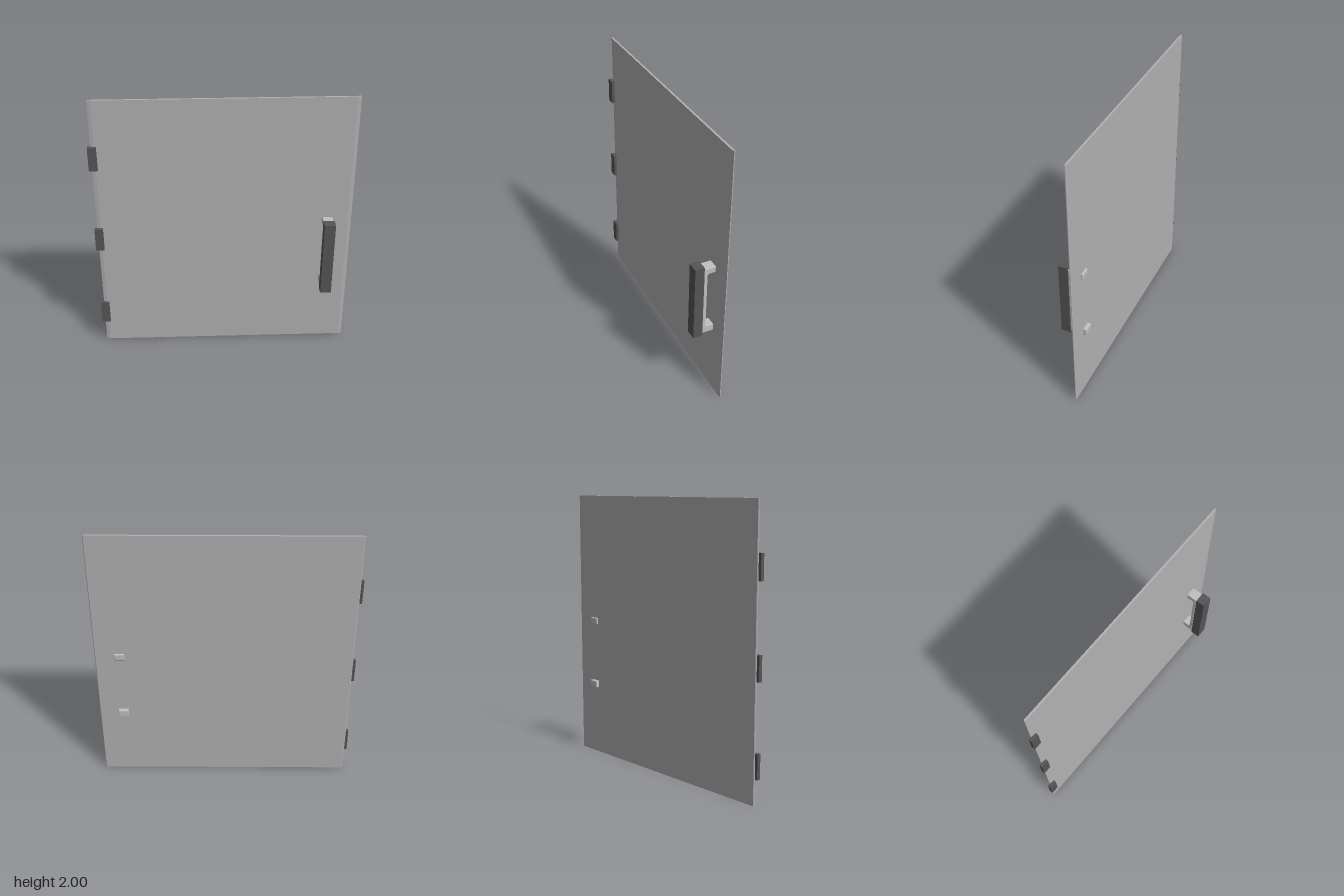
import * as THREE from 'three';

const panelGrey = new THREE.MeshStandardMaterial({ name: 'panelGrey', color: 0xb2b2b2 });
const metal = new THREE.MeshStandardMaterial({ name: 'lightMetal', color: 0xc0c0c0 });
const dark = new THREE.MeshStandardMaterial({ name: 'darkGrey', color: 0x555555 });

// Box given by its lower and upper corners
function box(name, [x0, y0, z0], [x1, y1, z1], material) {
  const mesh = new THREE.Mesh(new THREE.BoxGeometry(x1 - x0, y1 - y0, z1 - z0), material);
  mesh.name = name;
  mesh.position.set((x0 + x1) / 2, (y0 + y1) / 2, (z0 + z1) / 2);
  return mesh;
}

// Thin door sheet: plan outline with softened side edges, extruded upwards
function makePanel() {
  const h = 0.9175, t = 0.007;
  const plan = new THREE.Shape([
    [-h, 0.003], [-h + 0.005, t], [h - 0.005, t], [h, 0.003],
    [h, -0.002], [h - 0.025, -t], [-h + 0.025, -t], [-h, -0.002],
  ].reverse().map(([x, y]) => new THREE.Vector2(x, y)));
  const geometry = new THREE.ExtrudeGeometry(plan, { depth: 2, bevelEnabled: false });
  geometry.rotateX(-Math.PI / 2); // plan y becomes -z, depth becomes height
  const panel = new THREE.Mesh(geometry, panelGrey);
  panel.name = 'doorPanel';
  panel.position.set(0.0075, 0, -0.0675);
  panel.rotation.y = -0.006; // hangs very slightly ajar
  return panel;
}

// C-shaped bracket whose arms pass through the door; profile in (z, y)
function makeBracket() {
  const s = new THREE.Shape();
  const r = 0.015, front = 0.027, inner = 0;
  const lowEnd = -0.095, highEnd = -0.083;
  s.moveTo(front, 0.52);
  s.lineTo(front, 1.07);
  s.lineTo(highEnd + 0.008, 1.07);
  s.quadraticCurveTo(highEnd, 1.07, highEnd, 1.062);
  s.lineTo(highEnd, 1.028);
  s.quadraticCurveTo(highEnd, 1.02, highEnd + 0.008, 1.02);
  s.lineTo(inner - r, 1.02);
  s.quadraticCurveTo(inner, 1.02, inner, 1.02 - r);
  s.lineTo(inner, 0.575 + r);
  s.quadraticCurveTo(inner, 0.575, inner - r, 0.575);
  s.lineTo(lowEnd + 0.008, 0.575);
  s.quadraticCurveTo(lowEnd, 0.575, lowEnd, 0.567);
  s.lineTo(lowEnd, 0.528);
  s.quadraticCurveTo(lowEnd, 0.52, lowEnd + 0.008, 0.52);
  s.closePath();
  const geometry = new THREE.ExtrudeGeometry(s, {
    depth: 0.062, bevelThickness: 0.006, bevelSize: 0.006, bevelOffset: -0.006,
    bevelSegments: 3, curveSegments: 6,
  });
  geometry.rotateY(-Math.PI / 2); // profile x becomes z, depth becomes -x
  const bracket = new THREE.Mesh(geometry, metal);
  bracket.name = 'handleBracket';
  bracket.position.x = 0.781;
  return bracket;
}

export function createModel() {
  const door = new THREE.Group();
  door.name = 'door';
  door.add(makePanel());

  // Pull handle
  const handle = new THREE.Group();
  handle.name = 'handle';
  handle.add(makeBracket());
  handle.add(box('handleGrip', [0.71, 0.505, 0.027], [0.79, 1.085, 0.095], dark));
  door.add(handle);

  // Three hinges on the side away from the handle
  for (const y of [0.27, 0.923, 1.573]) {
    door.add(box('hinge', [-0.93, y - 0.088, -0.072], [-0.87, y + 0.088, -0.044], dark));
  }
  return door;
}
